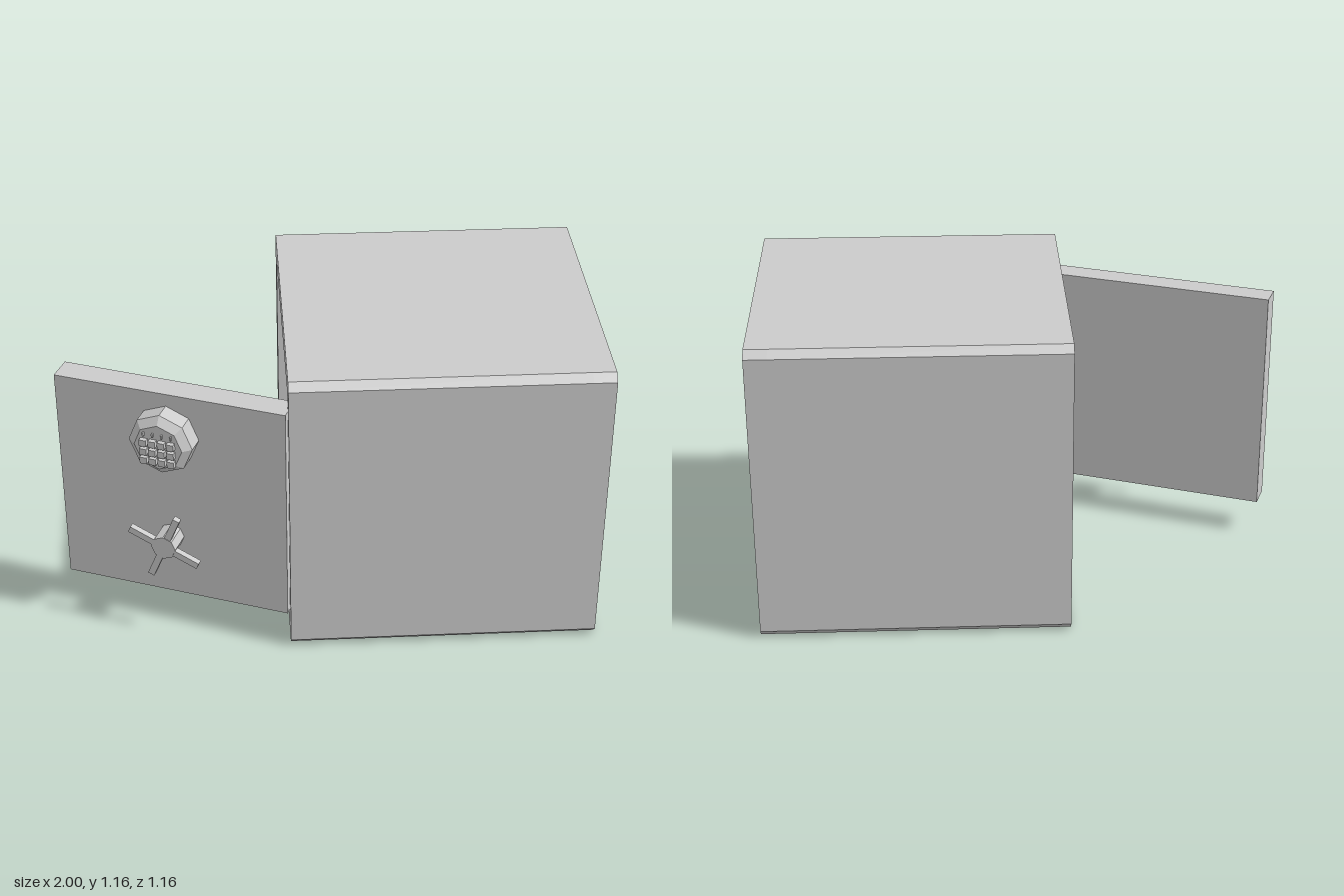
import * as THREE from 'three';

const material = new THREE.MeshStandardMaterial({ color: 0xcccccc, flatShading: true });

function add(parent, name, geometry, x = 0, y = 0, z = 0) {
  const mesh = new THREE.Mesh(geometry, material);
  mesh.name = name;
  mesh.position.set(x, y, z);
  parent.add(mesh);
  return mesh;
}

// Square of half-size h with chamfered corners
function chamferedSquare(h, c, Type) {
  const k = h - c;
  return new Type([[-k, -h], [k, -h], [h, -k], [h, k], [k, h], [-k, h], [-h, k], [-h, -k]]
    .map(([x, y]) => new THREE.Vector2(x, y)));
}

// Extrude a profile along +x
function extrudeX(shape, depth) {
  return new THREE.ExtrudeGeometry(shape, { depth, bevelEnabled: false }).rotateY(Math.PI / 2);
}

// Eight-sided cylinder pointing out of the door, standing on z = 0
function knob(rTop, rBottom, depth) {
  return new THREE.CylinderGeometry(rTop, rBottom, depth, 8)
    .rotateX(Math.PI / 2).translate(0, 0, depth / 2);
}

export function createModel() {
  const model = new THREE.Group();
  model.name = 'safe';

  // Hollow body, open towards -x
  const walls = chamferedSquare(0.58, 0.028, THREE.Shape);
  walls.holes.push(chamferedSquare(0.495, 0.028, THREE.Path));
  add(model, 'bodyWalls', extrudeX(walls, 1.075), -0.16, 0.58, 0);
  add(model, 'bodyEnd', extrudeX(chamferedSquare(0.58, 0.028, THREE.Shape), 0.085), 0.915, 0.58, 0);

  // Open door; its outer face is the local plane z = 0
  const door = new THREE.Group();
  door.name = 'door';
  door.position.set(-0.585, 0.583, 0.3975);
  door.rotation.y = -0.373;
  model.add(door);
  add(door, 'doorPanel', new THREE.BoxGeometry(0.89, 0.885, 0.098), 0, 0, -0.049);

  // Keypad with a bevelled rim
  const keypad = new THREE.Group();
  keypad.name = 'keypad';
  keypad.position.set(-0.01, 0.27, 0);
  door.add(keypad);
  add(keypad, 'keypadBase', knob(0.123, 0.123, 0.065));
  add(keypad, 'keypadFace', knob(0.092, 0.123, 0.025), 0, 0, 0.065);
  for (let col = 0; col < 4; col++) {
    const x = (col - 1.5) * 0.035;
    for (let row = 0; row < 3; row++) {
      add(keypad, 'button', new THREE.BoxGeometry(0.027, 0.026, 0.02), x, 0.019 - row * 0.037, 0.098);
    }
    add(keypad, 'indicator', new THREE.BoxGeometry(0.006, 0.014, 0.012), x, 0.052, 0.094);
  }

  // Four-spoke handle
  const handle = new THREE.Group();
  handle.name = 'handle';
  handle.position.set(-0.01, -0.177, 0);
  door.add(handle);
  add(handle, 'hub', knob(0.048, 0.048, 0.092));
  for (let i = 0; i < 4; i++) {
    const spoke = add(handle, 'spoke',
      new THREE.BoxGeometry(0.11, 0.026, 0.024).translate(0.09, 0, 0), 0, 0, 0.078);
    spoke.rotation.z = Math.PI * (3 / 8 + i / 2);
  }

  // Two hinges: long end barrels, short middle knuckles and a pin
  for (const y of [0.882, 0.413]) {
    const hinge = new THREE.Group();
    hinge.name = 'hinge';
    hinge.position.set(-0.16, y, 0.44);
    model.add(hinge);
    add(hinge, 'pin', new THREE.CylinderGeometry(0.013, 0.013, 0.24, 8));
    for (const s of [-1, 1]) {
      add(hinge, 'barrel', new THREE.CylinderGeometry(0.025, 0.025, 0.07, 8), 0, s * 0.08, 0);
      add(hinge, 'knuckle', new THREE.CylinderGeometry(0.025, 0.025, 0.022, 8), 0, s * 0.019, 0);
    }
  }
  return model;
}
